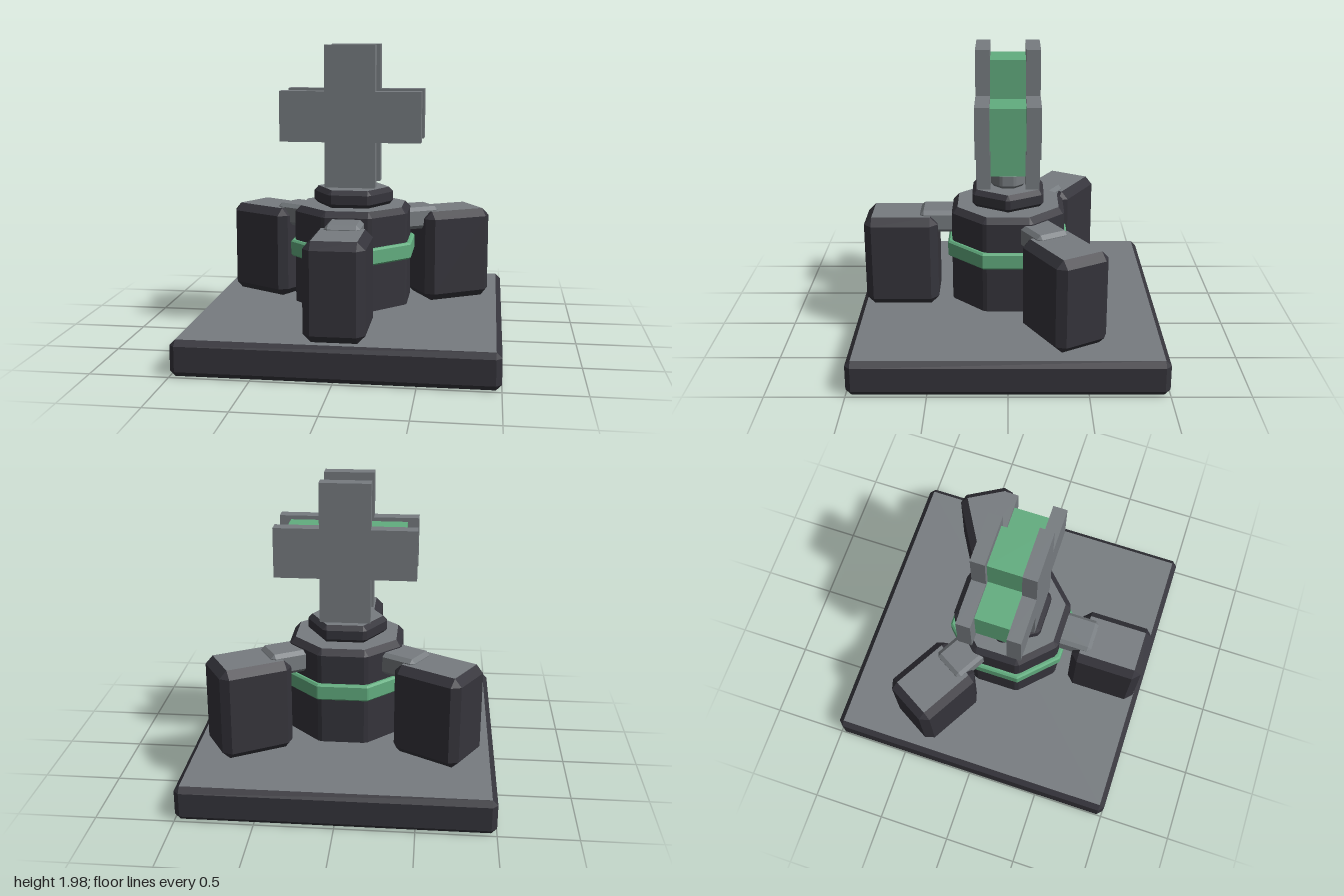
import * as THREE from 'three';

const mat = (name, color) => {
  const m = new THREE.MeshStandardMaterial({ color });
  m.name = name;
  return m;
};

// Footprints as [x, z] corners, counter-clockwise seen from above
const rect = (x, z0, z1) => [[-x, z1], [x, z1], [x, z0], [-x, z0]];
const regular = (n, apothem) => Array.from({ length: n }, (_, i) => {
  const a = (i + 0.5) * 2 * Math.PI / n, r = apothem / Math.cos(Math.PI / n);
  return [r * Math.sin(a), r * Math.cos(a)];
});

// Prism whose edges are all cut by chamfers; foot is the inset cap outline.
// Group 0 is the sides, group 1 the two caps.
function chamferPrism(foot, y0, y1, c, cBottom = c) {
  const n = foot.length, outer = [], cap = [];
  const normal = (p, q) => {
    const dx = q[0] - p[0], dz = q[1] - p[1], l = Math.hypot(dx, dz);
    return [-dz / l, dx / l];
  };
  foot.forEach((p, i) => {
    const before = normal(foot[(i + n - 1) % n], p), after = normal(p, foot[(i + 1) % n]);
    for (const d of [before, after]) {
      outer.push([p[0] + c * d[0], p[1] + c * d[1]]);
      cap.push(p);
    }
  });
  const at = (loop, y) => loop.map(([x, z]) => [x, y, z]);
  const loops = [at(cBottom ? cap : outer, y0), at(outer, y0 + cBottom), at(outer, y1 - c), at(cap, y1)];
  const pos = [], m = outer.length;
  const same = (a, b) => a.every((v, i) => Math.abs(v - b[i]) < 1e-6);
  const tri = (a, b, d) => {
    if (!same(a, b) && !same(b, d) && !same(a, d)) pos.push(...a, ...b, ...d);
  };
  for (let k = 0; k < 3; k++) {
    for (let i = 0; i < m; i++) {
      const j = (i + 1) % m, lo = loops[k], hi = loops[k + 1];
      tri(lo[i], lo[j], hi[j]);
      tri(lo[i], hi[j], hi[i]);
    }
  }
  const sides = pos.length / 3;
  for (let i = 1; i < m - 1; i++) {
    tri(loops[3][0], loops[3][i], loops[3][i + 1]);
    tri(loops[0][0], loops[0][i + 1], loops[0][i]);
  }
  const g = new THREE.BufferGeometry();
  g.setAttribute('position', new THREE.Float32BufferAttribute(pos, 3));
  g.computeVertexNormals();
  g.addGroup(0, sides, 0);
  g.addGroup(sides, pos.length / 3 - sides, 1);
  return g;
}

// Plus-shaped plate centred on z = 0
function cross(reach, half, depth) {
  const r = reach, h = half;
  const pts = [[-h, -r], [h, -r], [h, -h], [r, -h], [r, h], [h, h],
    [h, r], [-h, r], [-h, h], [-r, h], [-r, -h], [-h, -h]];
  const shape = new THREE.Shape(pts.map(([x, y]) => new THREE.Vector2(x, y)));
  return new THREE.ExtrudeGeometry(shape, { depth, bevelEnabled: false }).translate(0, 0, -depth / 2);
}

export function createModel() {
  const dark = mat('dark metal', 0x35343b);
  const grey = mat('grey metal', 0x777c80);
  const green = mat('green', 0x62ad7f);
  const model = new THREE.Group();
  const add = (name, geometry, material, parent = model) => {
    const mesh = new THREE.Mesh(geometry, material);
    mesh.name = name;
    parent.add(mesh);
    return mesh;
  };

  // Square base slab
  add('base', chamferPrism(rect(0.965, -0.965, 0.965), 0, 0.23, 0.035), [dark, grey]);

  // Three supports around the drum, each a block and a bridging arm
  for (let i = 0; i < 3; i++) {
    const support = new THREE.Group();
    support.name = 'support';
    support.rotation.y = i * 2 * Math.PI / 3;
    add('supportBlock', chamferPrism(rect(0.14, 0.52, 0.91), 0.23, 0.85, 0.05), [dark, grey], support);
    add('supportArm', chamferPrism(rect(0.09, 0.22, 0.565), 0.73, 0.88, 0.025), [grey, grey], support);
    model.add(support);
  }

  // Drum hanging between the supports, with its glowing band
  add('drum', chamferPrism(regular(8, 0.335), 0.275, 0.925, 0.038, 0), [dark, grey]);
  add('band', chamferPrism(regular(8, 0.388), 0.585, 0.695, 0.012), [green, green]);

  // Collar and neck
  add('collar', chamferPrism(regular(6, 0.206), 0.92, 1.04, 0.03), [dark, grey]);
  add('neck', chamferPrism(regular(8, 0.09), 1.035, 1.15, 0.025), [grey, grey]);

  // Cross emblem: green core between two grey plates
  add('crossCore', cross(0.387, 0.136, 0.232), green).position.y = 1.523;
  for (const s of [-1, 1]) {
    add('crossPlate', cross(0.462, 0.165, 0.093), grey).position.set(0, 1.52, s * 0.161);
  }
  return model;
}
